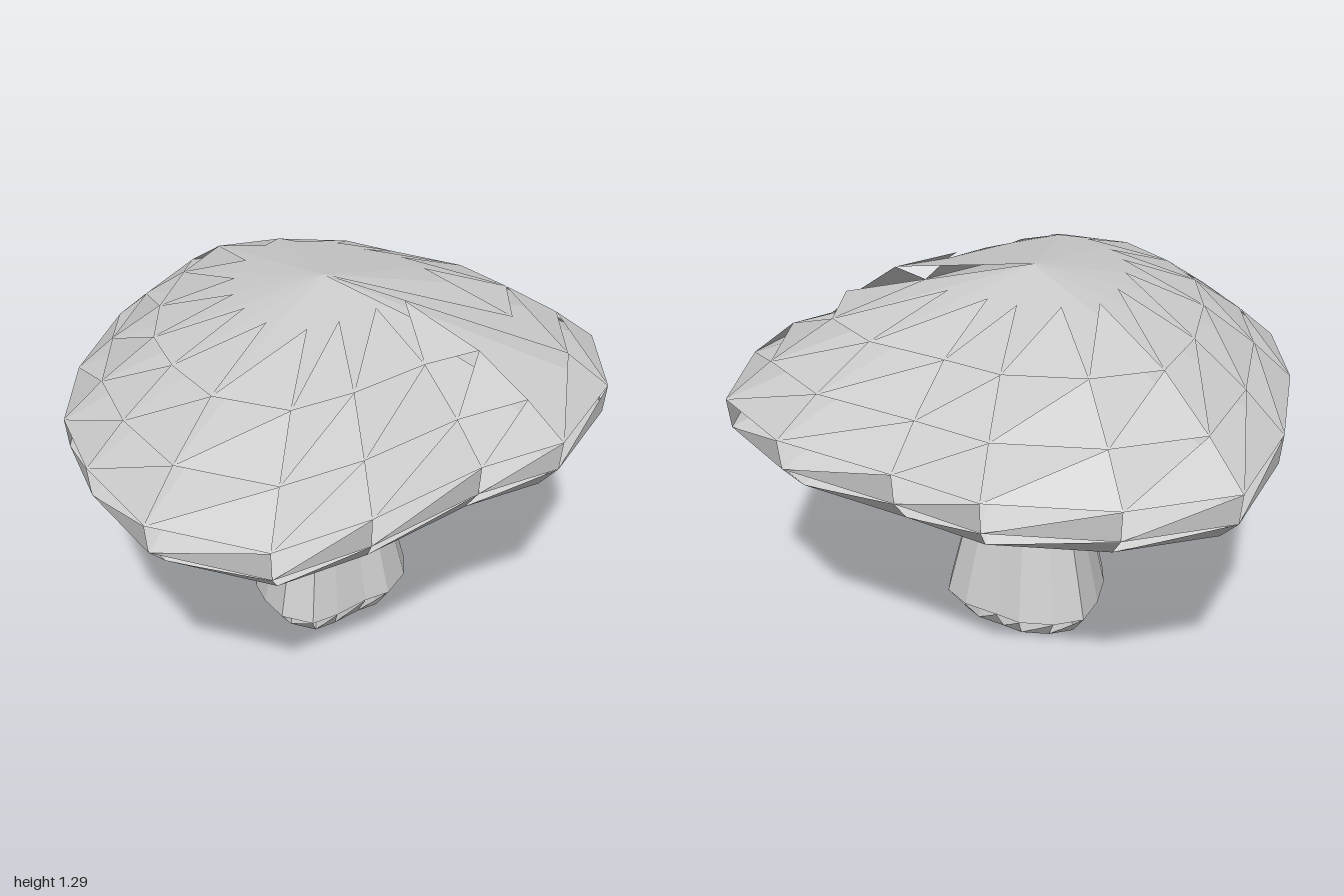
import * as THREE from 'three';

const material = new THREE.MeshStandardMaterial({ color: 0xcccccc, flatShading: true, side: THREE.DoubleSide });

// Irregular outline shared by cap and stem, as [x, z], going round from +x through the back
const RIM = [
  [0.905, -0.1], [0.865, -0.48], [0.61, -0.73], [0.22, -0.88],
  [-0.06, -1], [-0.45, -0.98], [-0.77, -0.83], [-0.885, -0.44],
  [-0.91, 0], [-0.85, 0.36], [-0.69, 0.64], [-0.44, 0.915],
  [-0.06, 1], [0.2, 0.8], [0.5, 0.48], [0.75, 0.3],
];
const SIDES = RIM.length;
const AXIS = [-0.06, -0.07];
const APEX = [AXIS[0], 1.295, AXIS[1]];

// Rings as [share of the outline, height]
const CAP_RINGS = [[0.92, 0.755], [0.99, 0.83], [1, 0.93], [0.85, 1.045], [0.65, 1.17], [0.345, 1.275]];
const GILL_RINGS = [[0.34, 0.86], [0.65, 0.8], [0.92, 0.755]];
const FOOT_RINGS = [[0.15, 0], [0.248, 0.012], [0.307, 0.09]];

function point([scale, y], i) {
  const [x, z] = RIM[i % SIDES];
  return [AXIS[0] + (x - AXIS[0]) * scale, y, AXIS[1] + (z - AXIS[1]) * scale];
}

// A plain cone from a ring to one point
function cone(ring, tip, sides = SIDES) {
  return Array.from({ length: sides }, (_, i) => [point(ring, i), point(ring, i + 1), tip]);
}

// Teeth standing on one ring and reaching the next, over a cone that runs to the apex
function toothedBand(lower, upper, sides = SIDES) {
  const teeth = Array.from({ length: sides }, (_, i) => [point(lower, i), point(lower, i + 1), point(upper, i + 1)]);
  return [...teeth, ...cone(lower, APEX, sides)];
}

function makeMesh(name, triangles) {
  const geometry = new THREE.BufferGeometry();
  geometry.setAttribute('position', new THREE.Float32BufferAttribute(triangles.flat(2), 3));
  geometry.computeVertexNormals();
  const mesh = new THREE.Mesh(geometry, material);
  mesh.name = name;
  return mesh;
}

// Domed cap; its upper bands stop short of the last side, leaving a sunken wedge
function createCap() {
  const dome = [];
  for (let r = 0; r < CAP_RINGS.length - 1; r++) {
    dome.push(...toothedBand(CAP_RINGS[r], CAP_RINGS[r + 1], r < 3 ? SIDES : SIDES - 1));
  }
  const gills = [];
  for (let r = 0; r < GILL_RINGS.length - 1; r++) {
    gills.push(...toothedBand(GILL_RINGS[r], GILL_RINGS[r + 1]));
  }
  const cap = new THREE.Group();
  cap.name = 'cap';
  cap.add(makeMesh('capDome', dome), makeMesh('capUnderside', gills));
  return cap;
}

// Tapered stem with a toothed bevel and a nearly flat sole
function createStem() {
  const [inner, sole, shoulder] = FOOT_RINGS;
  const stemSole = cone(inner, [AXIS[0], 0, AXIS[1]]);
  for (let i = 0; i < SIDES; i++) {
    const a = point(inner, i), b = point(inner, i + 1), c = point(sole, i + 1), d = point(sole, i);
    stemSole.push([a, b, c], [a, c, d]);
  }
  const stem = new THREE.Group();
  stem.name = 'stem';
  stem.add(
    makeMesh('stemShaft', cone(shoulder, APEX)),
    makeMesh('stemBevel', toothedBand(sole, shoulder)),
    makeMesh('stemSole', stemSole),
  );
  return stem;
}

export function createModel() {
  const mushroom = new THREE.Group();
  mushroom.name = 'mushroom';
  mushroom.add(createCap(), createStem());
  return mushroom;
}
